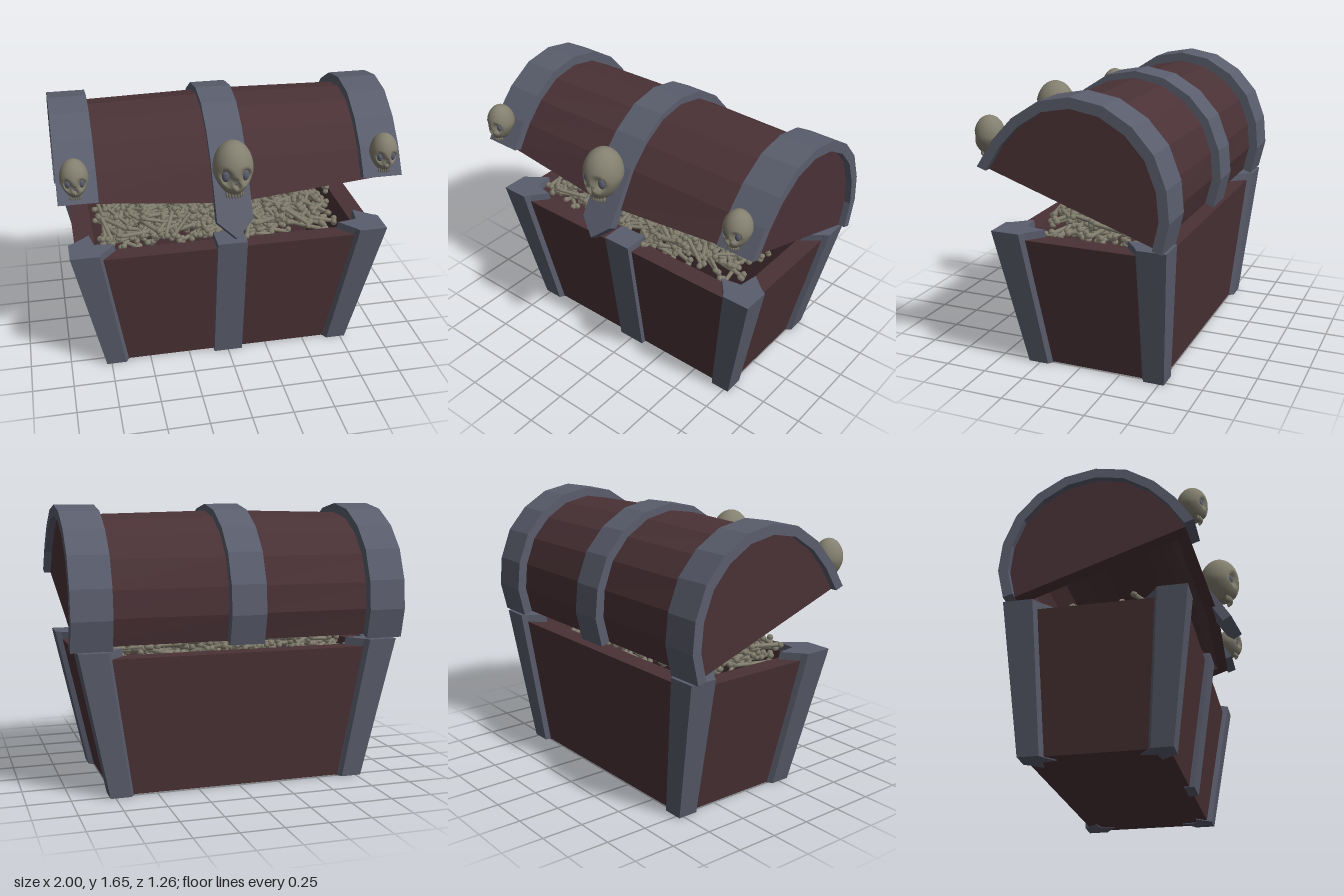
import * as THREE from 'three';
import { mergeGeometries } from 'three/addons/utils/BufferGeometryUtils.js';

const wood = new THREE.MeshStandardMaterial({ color: 0x4a3236, flatShading: true });
const steel = new THREE.MeshStandardMaterial({ color: 0x5a5d6c, flatShading: true });
const bone = new THREE.MeshStandardMaterial({ color: 0x848070 });

// Solid skin through rings of 3D points; cap2D is the outline used to fill both ends.
function loft(rings, cap2D) {
  const outline = cap2D.map(p => new THREE.Vector2(p[0], p[1]));
  if (THREE.ShapeUtils.isClockWise(outline)) {
    outline.reverse();
    rings = rings.map(r => [...r].reverse());
  }
  const tris = [], n = outline.length, last = rings[rings.length - 1];
  for (let k = 0; k + 1 < rings.length; k++) {
    const a = rings[k], b = rings[k + 1];
    for (let i = 0; i < n; i++) {
      const j = (i + 1) % n;
      tris.push([a[i], a[j], b[j]], [a[i], b[j], b[i]]);
    }
  }
  for (const [i, j, k] of THREE.ShapeUtils.triangulateShape(outline, [])) {
    tris.push([rings[0][k], rings[0][j], rings[0][i]], [last[i], last[j], last[k]]);
  }
  // turn inside out if the enclosed volume is negative
  const vec = p => new THREE.Vector3(...p);
  let volume = 0;
  for (const [a, b, c] of tris) volume += vec(a).dot(vec(b).cross(vec(c)));
  if (volume < 0) tris.forEach(t => t.reverse());
  const g = new THREE.BufferGeometry();
  g.setAttribute('position', new THREE.Float32BufferAttribute(tris.flat(2), 3));
  g.computeVertexNormals();
  return g;
}

// Prism of a (z, y) outline between two x positions.
const slab = (outline, x0, x1) =>
  loft([x0, x1].map(x => outline.map(([z, y]) => [x, y, z])), outline);

function add(parent, name, geometry, material) {
  const mesh = new THREE.Mesh(geometry, material);
  mesh.name = name;
  parent.add(mesh);
  return mesh;
}

// ---- chest body ----
function buildBase() {
  const base = new THREE.Group();
  base.name = 'base';
  const rect = (x, y, zf, zb) => [[x, y, zf], [x, y, zb], [-x, y, zb], [-x, y, zf]];
  const quad = [[1, 1], [1, -1], [-1, -1], [-1, 1]];
  add(base, 'chestBox', loft([
    rect(0.75, 0.005, 0.29, -0.5), rect(0.92, 0.81, 0.405, -0.565),
    rect(0.8, 0.81, 0.29, -0.445), rect(0.64, 0.05, 0.18, -0.39),
  ], quad), wood);

  // corner posts: one plan outline measured inward from the corner
  const plan = [[0, 0], [0.17, 0], [0.19, 0.035], [0.27, 0.13], [0.15, 0.15], [0.13, 0.27], [0.035, 0.19], [0, 0.17]];
  for (const sx of [-1, 1]) for (const sz of [-1, 1]) {
    const ring = (x, y, z, k) => plan.map(([u, v]) => [sx * (x - k * u), y, z - sz * k * v]);
    add(base, 'cornerPost', loft([
      ring(0.78, 0, sz > 0 ? 0.32 : -0.53, 0.72),
      ring(0.96, 0.855, sz > 0 ? 0.44 : -0.6, 1),
    ], plan), steel);
  }
  // front strap hooked over the rim
  add(base, 'frontStrap', slab([[0.32, 0], [0.44, 0.855], [0.28, 0.855], [0.28, 0.8], [0.36, 0.78], [0.26, 0]], -0.09, 0.09), steel);
  return base;
}

// ---- open lid ----
const C = [-0.05, 1.05];
const arc = [[-0.587, 0.86], [-0.627, 1.035], [-0.61, 1.21], [-0.54, 1.39], [-0.42, 1.525], [-0.26, 1.62],
  [-0.077, 1.653], [0.103, 1.62], [0.264, 1.517], [0.387, 1.386], [0.487, 1.232]];
const scaled = (p, s) => [C[0] + (p[0] - C[0]) * s, C[1] + (p[1] - C[1]) * s];
const hollow = (pts, s) => [...pts, ...pts.map(p => scaled(p, s)).reverse()];

function buildLid() {
  const lid = new THREE.Group();
  lid.name = 'lid';
  // wooden shell, bulging toward the middle of the front
  const end = arc.map(p => scaled(p, 0.9));
  const mid = arc.map((p, i) => scaled(p, 0.9 + 0.06 * i / 10));
  mid[10] = [0.49, 1.153];
  const at = (pts, x) => hollow(pts, 0.87).map(([z, y]) => [x, y, z]);
  add(lid, 'lidShell', loft([at(end, -0.95), at(mid, -0.02), at(end, 0.95)], hollow(end, 0.87)), wood);
  add(lid, 'lidEndRight', slab(end, -0.96, -0.87), wood);
  add(lid, 'lidEndLeft', slab(end, 0.87, 0.96), wood);

  // metal hoops
  const hoop = hollow(arc, 0.9);
  for (const [name, a, b] of [['hoopRight', -1, -0.775], ['hoopMiddle', -0.125, 0.085], ['hoopLeft', 0.765, 1]]) {
    add(lid, name, slab(hoop, a, b), steel);
  }
  // pointed clasp continuing the middle hoop
  const clasp = [[-0.125, -0.02], [0.085, -0.02], [0.085, 0.175], [-0.02, 0.275], [-0.125, 0.175]];
  add(lid, 'clasp', loft([0, 0.06].map(t =>
    clasp.map(([x, s]) => [x, 1.232 - 0.846 * s - 0.533 * t, 0.487 + 0.533 * s - 0.846 * t])), clasp), steel);
  return lid;
}

// ---- skull ornament, modelled in a unit box ----
function buildSkull() {
  const skull = new THREE.Group();
  skull.name = 'skull';
  const sockets = [[-0.48, -0.1, 0.27, 0.3], [0.48, -0.1, 0.27, 0.3], [0, -0.34, 0.13, 0.16]];
  const g = new THREE.SphereGeometry(1, 40, 28);
  const pos = g.attributes.position;
  for (let i = 0; i < pos.count; i++) {
    let x = pos.getX(i), y = pos.getY(i), z = pos.getZ(i);
    if (z > 0) for (const [ex, ey, rx, ry] of sockets) {
      const d = Math.hypot((x - ex) / rx, (y - ey) / ry);
      if (d < 1) z -= 0.4 * Math.sqrt(1 - d);
    }
    // narrow jaw, with the rear cut away below the cranium
    const t = Math.max(0, -y - 0.1);
    x *= 1 - 0.25 * t;
    z = z < 0 ? z * (1 - 0.9 * t) : z * (1 + 0.2 * t);
    pos.setXYZ(i, x, Math.max(y, -0.88), z);
  }
  g.computeVertexNormals();
  add(skull, 'cranium', g, bone);
  // dark hollows
  for (const [x, y, rx, ry] of sockets) {
    const m = add(skull, 'socket', new THREE.SphereGeometry(1, 12, 8), steel);
    m.scale.set(rx * 0.8, ry * 0.8, 0.2);
    m.position.set(x * 0.98, y, Math.sqrt(1 - x * x - y * y) - 0.33);
    m.rotation.y = x * 0.6;
  }
  // row of teeth
  for (let i = -3; i <= 3; i++) {
    const m = add(skull, 'tooth', new THREE.SphereGeometry(1, 8, 6), bone);
    m.scale.set(0.065, 0.15, 0.09);
    m.position.set(Math.sin(i * 0.3) * 0.5, -0.86, 0.1 + Math.cos(i * 0.3) * 0.48);
  }
  return skull;
}

// ---- heap of bones ----
function buildBones() {
  let seed = 7;
  const rnd = (a, b) => {
    seed = (seed * 16807) % 2147483647;
    return a + (b - a) * seed / 2147483647;
  };
  const heap = [];
  const place = (x, y, z, length, yaw, pitch) => {
    const parts = [new THREE.CylinderGeometry(0.013, 0.013, length, 6, 1, true)];
    for (const sy of [-1, 1]) for (const sx of [-1, 1]) {
      parts.push(new THREE.SphereGeometry(0.02, 6, 4).translate(sx * 0.014, sy * length / 2, 0));
    }
    const g = mergeGeometries(parts);
    g.rotateY(rnd(0, 3)).rotateZ(Math.PI / 2 + pitch).rotateY(yaw).translate(x, y, z);
    heap.push(g);
  };
  for (let i = 0; i < 300; i++) {
    const length = rnd(0.14, 0.26), yaw = rnd(0, Math.PI);
    const dx = Math.abs(Math.cos(yaw)) * length / 2, dz = Math.abs(Math.sin(yaw)) * length / 2;
    const x = rnd(-0.76 + dx, 0.74 - dx), z = rnd(-0.41 + dz, 0.27 - dz);
    const gap = Math.abs(x) < 0.12 ? 0.03 : 0;
    place(x, rnd(0.77, 0.89) - gap, z, length, yaw, rnd(-0.25, 0.25));
  }
  // a few bones sticking up near the front
  for (const x of [-0.72, -0.34, -0.26, 0.14, 0.2, 0.44]) {
    place(x, 0.89, rnd(0.16, 0.26), 0.19, rnd(0, 3), rnd(0.5, 0.9));
  }
  return mergeGeometries(heap);
}

export function createModel() {
  const model = new THREE.Group();
  model.name = 'treasureChest';
  model.add(buildBase(), buildLid());
  add(model, 'bonePile', buildBones(), bone);
  for (const [x, y, z, k] of [[-0.02, 1.385, 0.505, 1], [-0.9, 1.385, 0.465, 0.7], [0.88, 1.385, 0.465, 0.7]]) {
    const skull = buildSkull();
    skull.scale.set(0.115 * k, 0.16 * k, 0.125 * k);
    skull.position.set(x, y, z);
    model.add(skull);
  }
  return model;
}
